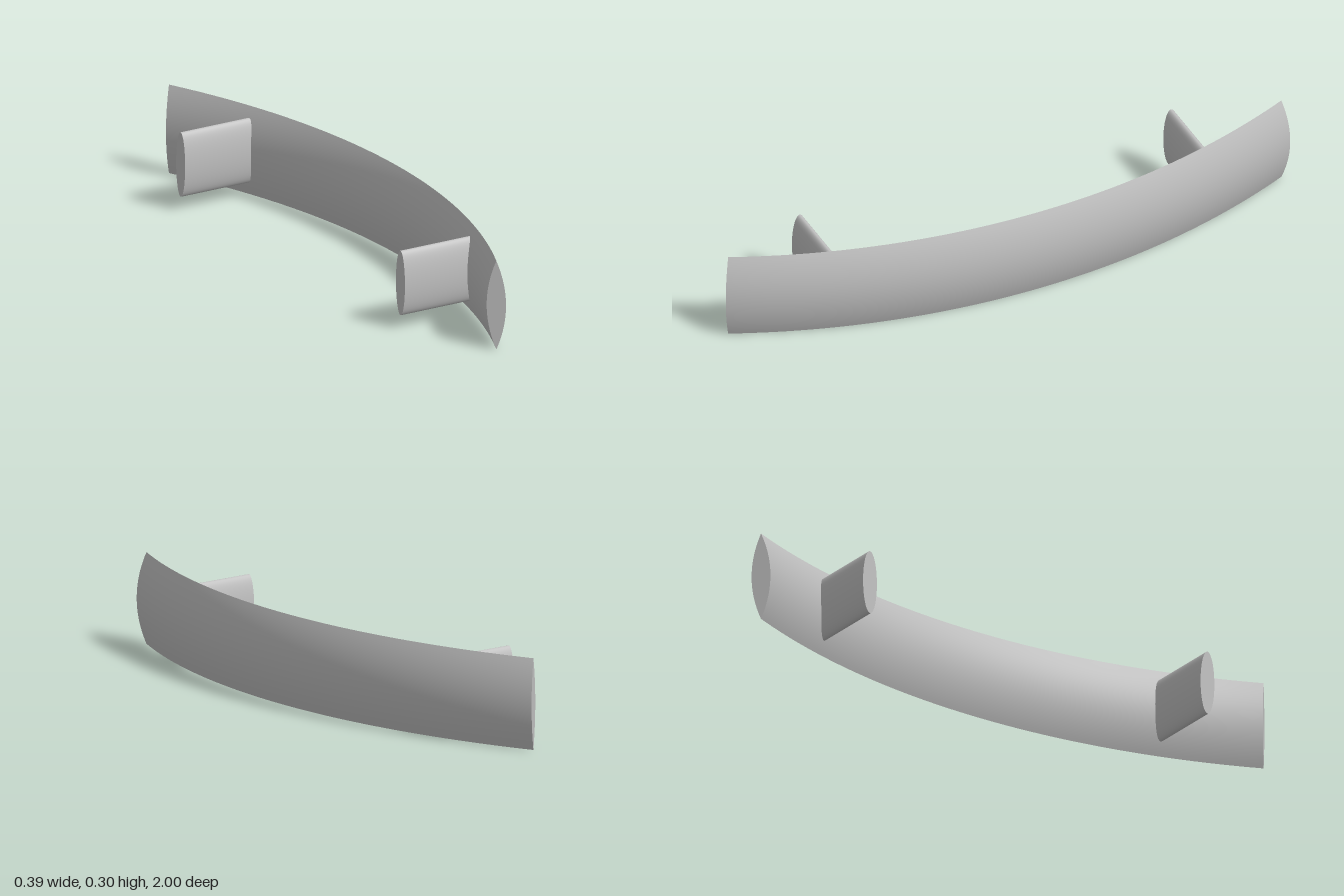
import * as THREE from 'three';

const HALF_HEIGHT = 0.15;

// Point on the bowed bar: s = height (-1..1), u = inner to outer face (-1..1), t = along the length (-1..1)
function barPoint(s, u, t) {
  const bulge = u * (1 - s * s);
  const radius = 2.39 + 0.03 * bulge;
  const z = t * (0.98 + 0.02 * bulge);
  const x = 0.167 + 0.03 * bulge - radius + Math.sqrt(radius * radius - z * z);
  return [x, HALF_HEIGHT * (1 + s), z];
}

// Bend a flat grid into a surface; the front side faces (d/da x d/db)
function surface(name, material, segA, segB, rule) {
  const geometry = new THREE.PlaneGeometry(2, 2, segA, segB);
  const p = geometry.attributes.position;
  for (let i = 0; i < p.count; i++) p.setXYZ(i, ...rule(p.getX(i), p.getY(i)));
  geometry.computeVertexNormals();
  const mesh = new THREE.Mesh(geometry, material);
  mesh.name = name;
  return mesh;
}

export function createModel() {
  const metal = new THREE.MeshStandardMaterial({ color: 0xc0c0c0 });
  metal.name = 'satin metal';
  const model = new THREE.Group();
  model.name = 'pullHandle';

  // Bowed grip with a lens-shaped cross-section
  const grip = new THREE.Group();
  grip.name = 'grip';
  grip.add(
    surface('gripOuterFace', metal, 24, 64, (a, b) => barPoint(a, 1, b)),
    surface('gripInnerFace', metal, 64, 24, (a, b) => barPoint(b, -1, a)),
    surface('gripFrontEnd', metal, 2, 24, (a, b) => barPoint(b, a, 1)),
    surface('gripBackEnd', metal, 24, 2, (a, b) => barPoint(a, b, -1)),
  );
  model.add(grip);

  // Two oval mounting posts reaching into the grip
  const postStart = -0.198, postEnd = 0.07;
  const postGeometry = new THREE.CylinderGeometry(1, 1, postEnd - postStart, 48);
  postGeometry.rotateZ(Math.PI / 2);
  postGeometry.scale(1, 0.109, 0.027);
  for (const [name, z] of [['frontPost', 0.652], ['backPost', -0.664]]) {
    const post = new THREE.Mesh(postGeometry, metal);
    post.name = name;
    post.position.set((postStart + postEnd) / 2, 0.155, z);
    model.add(post);
  }
  return model;
}
